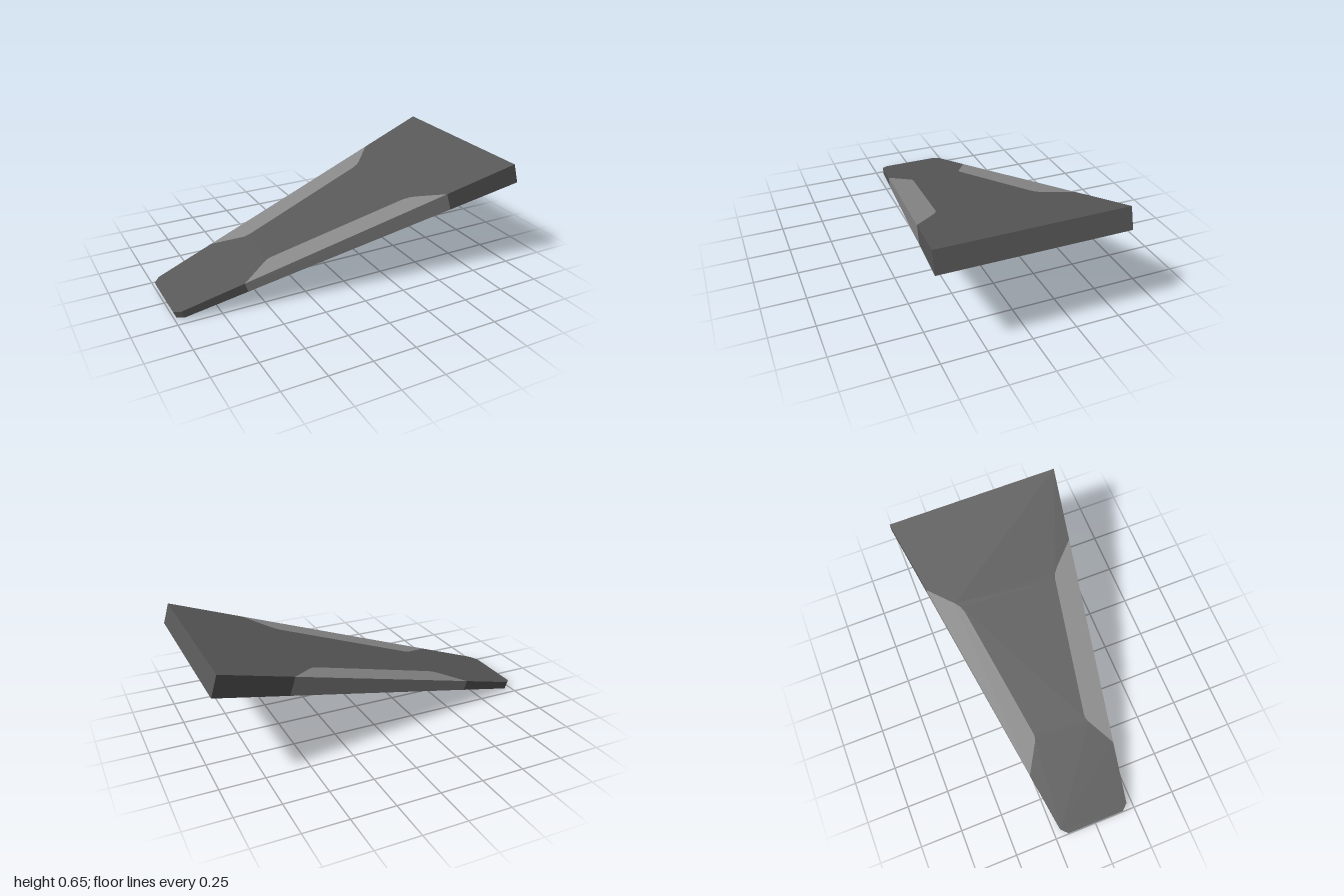
import * as THREE from 'three';

// Half-width of the tapered slab along its length
const edge = (x) => 0.21 + 0.16 * (x + 0.965);

// Extrude a plan outline, then tilt it and thicken it toward the wide end
function slab(points, material, name) {
  const shape = new THREE.Shape(points.map(([x, z]) => new THREE.Vector2(x, z)));
  const geometry = new THREE.ExtrudeGeometry(shape, { depth: 1, bevelEnabled: false });
  geometry.rotateX(-Math.PI / 2);
  const p = geometry.attributes.position;
  for (let i = 0; i < p.count; i++) {
    const x = p.getX(i);
    const lowX = x + 0.015 + 0.0102 * (x + 1);
    if (p.getY(i) > 0.5) p.setY(i, 0.04 + 0.3094 * (x + 1));
    else p.setXYZ(i, lowX, 0.267 * (lowX + 0.985), p.getZ(i));
  }
  geometry.computeVertexNormals();
  const mesh = new THREE.Mesh(geometry, material);
  mesh.name = name;
  return mesh;
}

export function createModel() {
  const darkGrey = new THREE.MeshStandardMaterial({ color: 0x585858 });
  darkGrey.name = 'darkGrey';
  const lightGrey = new THREE.MeshStandardMaterial({ color: 0x888888 });
  lightGrey.name = 'lightGrey';

  // Inner border of the side panels, from narrow end to wide end
  const notch = [
    [-0.62, edge(-0.62)], [-0.46, 0.17], [-0.44, 0.161], [-0.415, 0.16],
    [0.36, 0.286], [0.395, 0.299], [0.425, 0.323], [0.55, edge(0.55)],
  ];
  const half = [[-1, 0.173], [-0.965, 0.21], ...notch, [0.965, edge(0.965)]];
  const mirror = (points) => points.map(([x, z]) => [x, -z]);

  const group = new THREE.Group();
  group.name = 'taperedPanel';
  group.add(
    slab([...half, ...mirror(half).reverse()], darkGrey, 'body'),
    slab(notch, lightGrey, 'backSidePanel'),
    slab(mirror(notch), lightGrey, 'frontSidePanel'),
  );
  return group;
}
